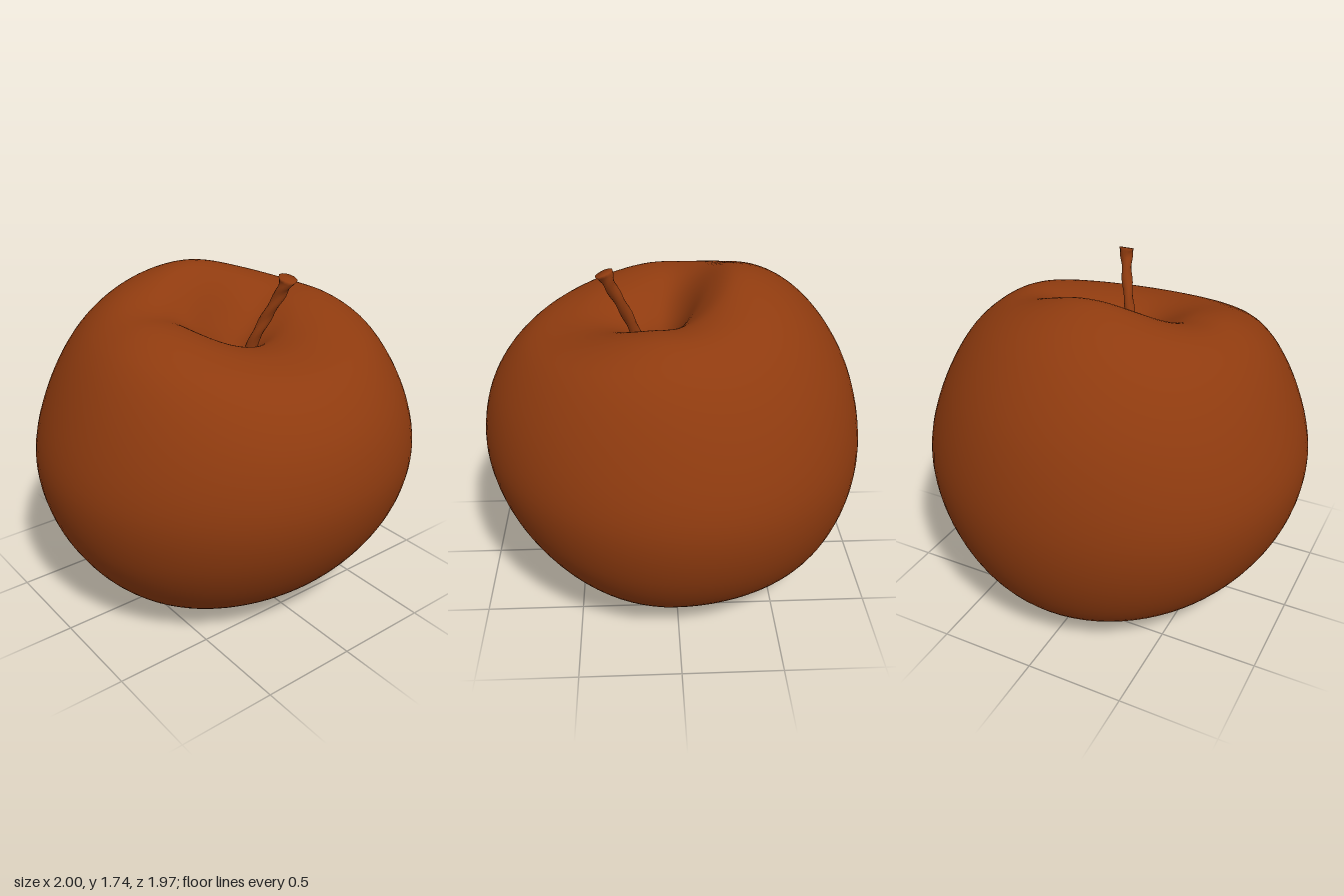
import * as THREE from 'three';

const skin = new THREE.MeshStandardMaterial({ color: 0x8f3b0f });
skin.name = 'russet brown';

// Meridian profiles from the stem hollow, over the equator, to the calyx hollow: [distance, height]
const front = [[.12, 1.22], [.17, 1.25], [.20, 1.33], [.27, 1.40], [.37, 1.43], [.53, 1.43], [.75, 1.36], [.92, 1.15],
  [.985, .87], [.94, .62], [.80, .36], [.60, .15], [.33, .015], [.10, .05], [0, .15], [-.08, .19]];
const back = [[.12, 1.22], [.05, 1.25], [-.05, 1.42], [-.17, 1.61], [-.30, 1.695], [-.50, 1.65], [-.70, 1.50], [-.89, 1.20],
  [-.98, .80], [-.93, .45], [-.78, .18], [-.55, .05], [-.38, .025], [-.24, .06], [-.15, .15], [-.08, .19]];
const side = [[0, 1.22], [.05, 1.25], [.12, 1.37], [.25, 1.48], [.38, 1.545], [.55, 1.55], [.73, 1.44], [.90, 1.17],
  [1, .83], [.95, .52], [.80, .26], [.60, .09], [.37, .005], [.17, .06], [.08, .15], [0, .19]];

const curve = pts => new THREE.CatmullRomCurve3(pts.map(p => new THREE.Vector3(p[0], p[1], p[2] || 0)));

// Closed rings from top to bottom; place(t, angle) returns [x, y, z]
function loft(place, rows, cols) {
  const pos = [], idx = [];
  for (let i = 0; i <= rows; i++) {
    for (let j = 0; j < cols; j++) {
      pos.push(...place(i / rows, j / cols * Math.PI * 2));
      if (i === rows) continue;
      const k = (j + 1) % cols, a = i * cols + j, b = i * cols + k;
      idx.push(a, a + cols, b, b, a + cols, b + cols);
    }
  }
  const g = new THREE.BufferGeometry();
  g.setAttribute('position', new THREE.Float32BufferAttribute(pos, 3));
  g.setIndex(idx);
  g.computeVertexNormals();
  return g;
}

function add(parent, name, geometry) {
  const mesh = new THREE.Mesh(geometry, skin);
  mesh.name = name;
  parent.add(mesh);
  return mesh;
}

export function createModel() {
  const apple = new THREE.Group();
  apple.name = 'apple';

  // Fruit body: rings blended between the front, back and side profiles
  const F = curve(front), B = curve(back), S = curve(side);
  add(apple, 'fruitBody', loft((t, a) => {
    const f = F.getPoint(t), b = B.getPoint(t), s = S.getPoint(t);
    const c = Math.cos(a), n = Math.sin(a);
    const shift = -.1 * THREE.MathUtils.smoothstep(t, .78, 1);
    return [
      s.x * n + shift,
      c * c * (c > 0 ? f.y : b.y) + n * n * s.y,
      (f.x + b.x) / 2 + (f.x - b.x) / 2 * c,
    ];
  }, 90, 80));

  // Stem: slightly knobbly, leaning forward, flared at the cut end
  const path = curve([[.125, 1.735, .335], [.11, 1.66, .305], [.075, 1.54, .25], [.035, 1.41, .2], [0, 1.2, .13]]);
  add(apple, 'stem', loft((t, a) => {
    const u = Math.max(0, (t - .05) / .95);
    const p = path.getPoint(u);
    const knob = 1 + .1 * Math.sin(u * 24 + 2 * a);
    const r = t === 0 ? 0 : (.026 + .016 * Math.exp(-u * 9)) * knob;
    return [p.x + r * Math.sin(a), p.y - .35 * r * Math.cos(a), p.z + r * Math.cos(a)];
  }, 20, 12));

  // Calyx: dried sepals in the lower hollow
  const calyx = new THREE.Group();
  calyx.name = 'calyx';
  calyx.position.set(-.1, .19, -.08);
  apple.add(calyx);
  for (let i = 0; i < 5; i++) {
    const a = i / 5 * Math.PI * 2 + .3;
    const leaf = curve([[.03, .02], [.07, -.05], [.06, -.1], [.02 + .012 * i, -.13]]);
    add(calyx, 'sepal', loft((t, q) => {
      const p = leaf.getPoint(1 - t), w = .04 * Math.sqrt(t);
      const out = p.x + .01 * Math.sqrt(t) * Math.cos(q), across = w * Math.sin(q);
      return [out * Math.sin(a) + across * Math.cos(a), p.y, out * Math.cos(a) - across * Math.sin(a)];
    }, 8, 8));
  }
  return apple;
}
